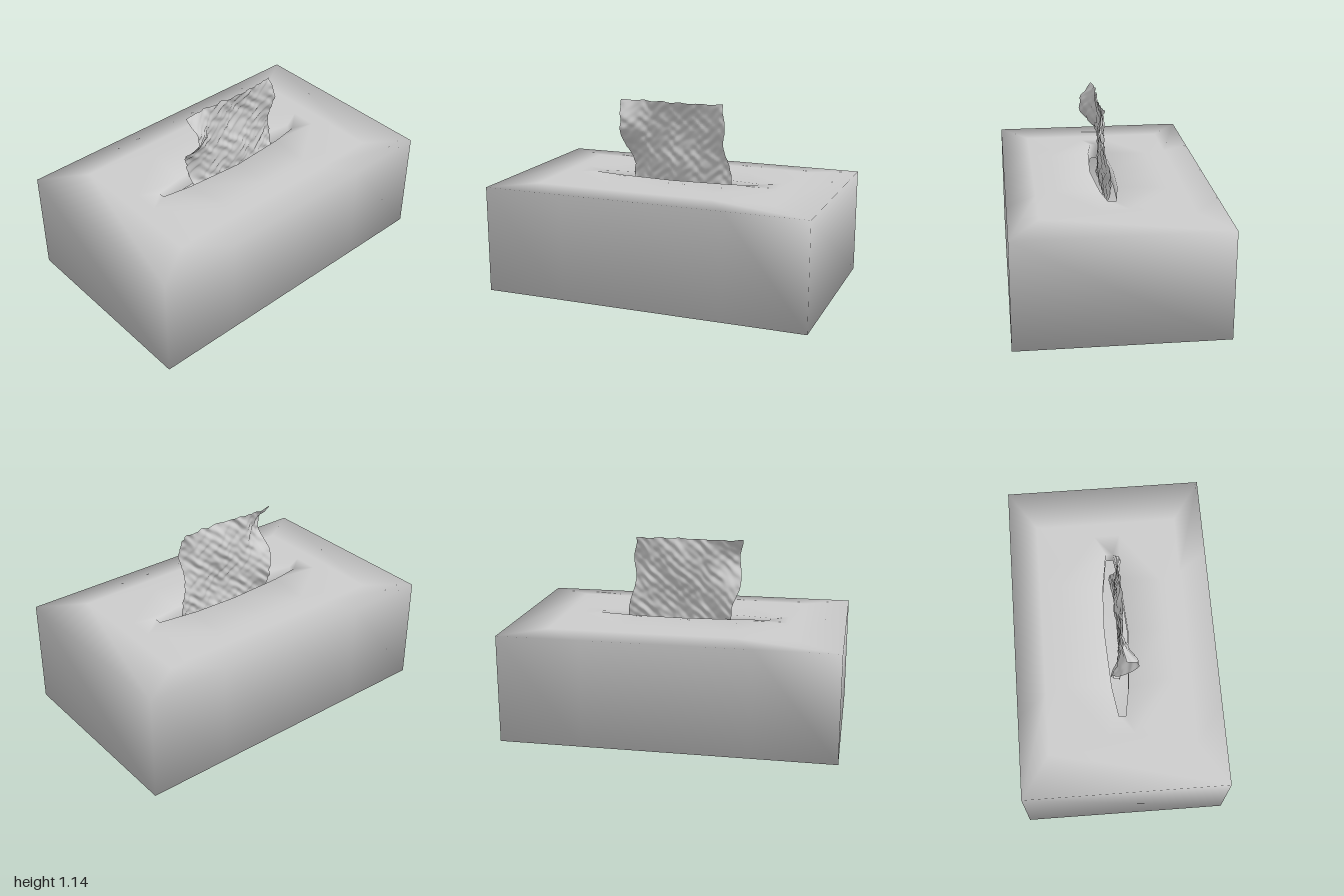
import * as THREE from 'three';

const material = new THREE.MeshStandardMaterial({ color: 0xcccccc, side: THREE.DoubleSide });

// Ten-point rectangle, running clockwise as seen from above
const rect = (w, d) => [
  [-1, -1], [-0.5, -1], [0, -1], [0.5, -1], [1, -1],
  [1, 1], [0.5, 1], [0, 1], [-0.5, 1], [-1, 1],
].map(([x, z]) => [x * w, z * d]);

// Smoothly interpolated list of [key, value] pairs
function curve(points) {
  return (t) => {
    let i = 0;
    while (i < points.length - 2 && t > points[i + 1][0]) i++;
    const [a, va] = points[i], [b, vb] = points[i + 1];
    return va + (vb - va) * THREE.MathUtils.smoothstep(t, a, b);
  };
}

// Carton: rings lofted from the base, over the domed top and into the slot
function createCarton() {
  const slot = [
    [-0.54, -0.01], [-0.36, -0.04], [0, -0.06], [0.28, -0.05], [0.52, -0.015],
    [0.52, 0.03], [0.35, 0.06], [0, 0.085], [-0.36, 0.06], [-0.54, 0.03],
  ];
  const panel = rect(0.65, 0.32).map(([x, z]) => (Math.abs(x) > 0.6 ? [x, z * 0.25] : [x, z]));
  const rings = [
    [0, rect(1, 0.615)],
    [0.653, rect(1, 0.615)],
    [0.663, rect(0.74, 0.44)],
    [0.665, panel],
    [0.665, slot],
    [0.57, slot],
  ];
  const n = slot.length;
  const positions = rings.flatMap(([y, pts]) => pts.flatMap(([x, z]) => [x, y, z]));
  positions.push(0, 0, 0);
  const centre = rings.length * n;
  const index = [];
  for (let i = 0; i < n; i++) {
    const j = (i + 1) % n;
    index.push(i, j, centre);
    for (let r = 0; r < rings.length - 1; r++) {
      const a = r * n + i, b = r * n + j;
      index.push(a, a + n, b + n, a, b + n, b);
    }
  }
  const geometry = new THREE.BufferGeometry();
  geometry.setAttribute('position', new THREE.Float32BufferAttribute(positions, 3));
  geometry.setIndex(index);
  geometry.computeVertexNormals();
  const mesh = new THREE.Mesh(geometry, material);
  mesh.name = 'carton';
  return mesh;
}

// Tissue: a crinkled sheet, pinched at mid height and curled at its sides
function createTissue() {
  const bottom = 0.58, top = 1.14, pinch = 0.86;
  const leftEdge = curve([[0.58, -0.29], [0.72, -0.305], [0.87, -0.352], [1.02, -0.335], [1.14, -0.362]]);
  const rightEdge = curve([[0.58, 0.35], [0.68, 0.348], [0.89, 0.305], [1.01, 0.322], [1.14, 0.298]]);
  const sway = curve([[-0.36, 0.095], [-0.14, 0], [0.05, -0.03], [0.2, 0], [0.33, 0.035]]);
  const geometry = new THREE.PlaneGeometry(1, 1, 72, 60);
  const p = geometry.attributes.position;
  for (let i = 0; i < p.count; i++) {
    const u = p.getX(i) + 0.5, v = p.getY(i) + 0.5;
    const y = bottom + v * (top - bottom);
    const x = THREE.MathUtils.lerp(leftEdge(y), rightEdge(y), u);
    const wave = Math.sin(Math.PI * (y - pinch) / 0.28);
    const lean = 0.02 + 0.02 * Math.max(0, (y - pinch) / 0.28);
    const ripple = 0.02 * Math.sin(x * 11 + 1) * Math.max(0, v - 0.5);
    const crinkle = 0.004 * Math.sin(x * 62 + 3 * Math.sin(y * 31))
      + 0.003 * Math.sin(y * 83 + 3 * Math.sin(x * 37 + 1))
      + 0.002 * Math.sin(x * 95 - y * 110);
    const fold = wave < 0 ? 0.7 : 1;
    p.setXYZ(i, x, y + 0.003 * Math.sin(x * 50) * v,
      lean + sway(x) * wave * fold + ripple + crinkle);
  }
  geometry.computeVertexNormals();
  const mesh = new THREE.Mesh(geometry, material);
  mesh.name = 'tissue';
  return mesh;
}

export function createModel() {
  const group = new THREE.Group();
  group.name = 'tissueBox';
  group.add(createCarton(), createTissue());
  return group;
}
